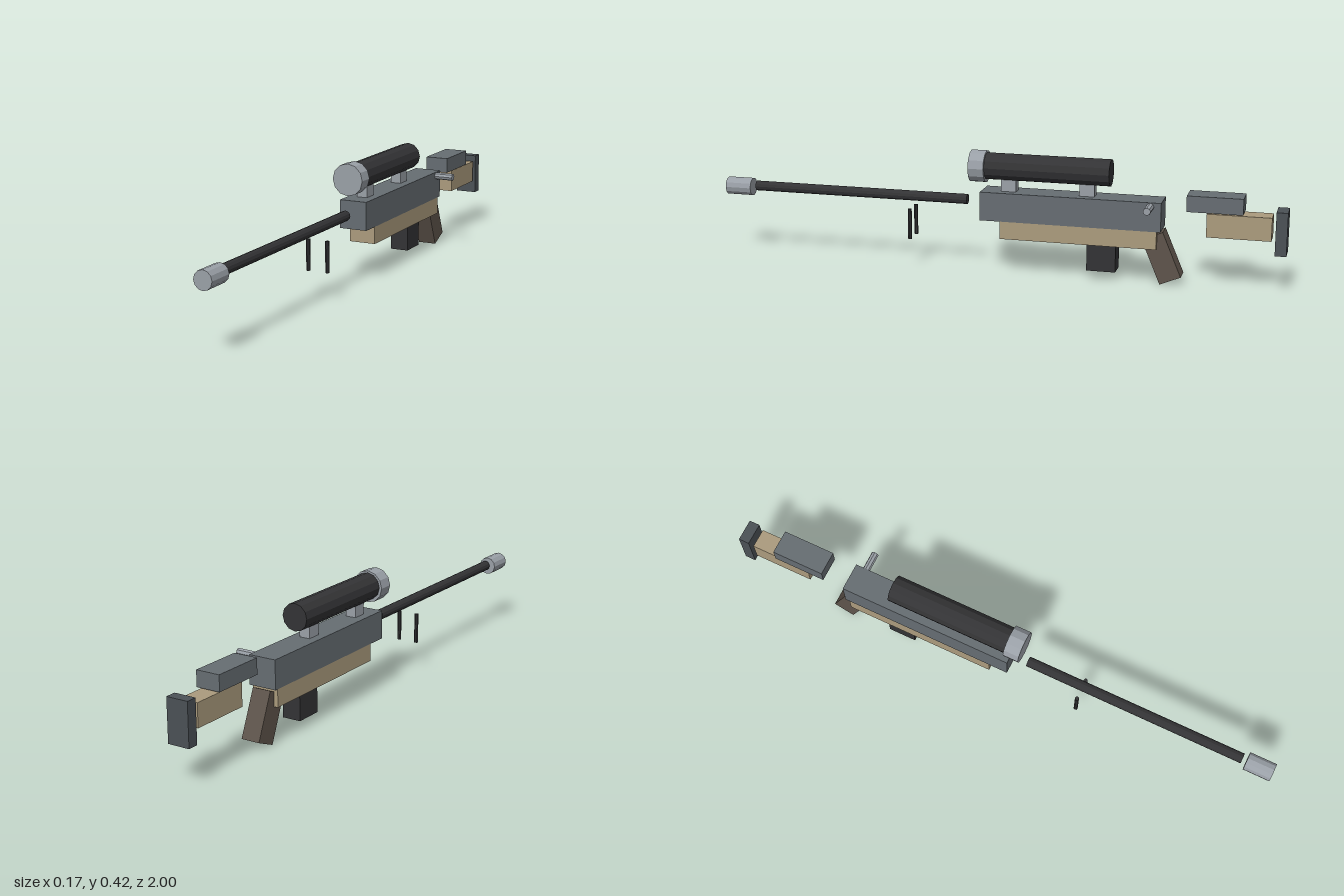
import * as THREE from 'three';

const CX = -0.032; // centre line of the rifle

const COLORS = {
  steel: 0x666d72, tan: 0xab9b7d, black: 0x333335,
  silver: 0x9aa0a7, grip: 0x5e544b, rubber: 0x4b5156,
};

export function createModel() {
  const model = new THREE.Group();

  const add = (name, geometry, color, x, y, z) => {
    const material = new THREE.MeshStandardMaterial({ color: COLORS[color], flatShading: true });
    const mesh = new THREE.Mesh(geometry, material);
    mesh.name = name;
    mesh.position.set(x, y, z);
    model.add(mesh);
    return mesh;
  };

  // Box on the centre line, given its width and its y and z ranges
  const block = (name, color, width, y0, y1, z0, z1) =>
    add(name, new THREE.BoxGeometry(width, y1 - y0, z1 - z0), color, CX, (y0 + y1) / 2, (z0 + z1) / 2);

  // Twelve-sided tube along z
  const tube = (name, color, radius, y, z0, z1) =>
    add(name, new THREE.CylinderGeometry(radius, radius, z1 - z0, 12).rotateX(Math.PI / 2),
      color, CX, y, (z0 + z1) / 2);

  // Barrel
  tube('muzzle', 'silver', 0.032, 0.245, 0.905, 1);
  tube('barrel', 'black', 0.018, 0.25, 0.1, 0.89);

  // Body
  block('receiver', 'steel', 0.1, 0.19, 0.29, -0.584, 0.043);
  block('handguard', 'tan', 0.096, 0.128, 0.192, -0.57, -0.027);
  block('magazine', 'black', 0.067, 0.034, 0.14, -0.43, -0.33);
  const grip = add('grip', new THREE.BoxGeometry(0.067, 0.166, 0.077), 'grip', CX, 0.095, -0.586);
  grip.rotation.x = 0.4;

  // Scope and its mounts
  tube('scope', 'black', 0.047, 0.373, -0.405, 0.035);
  tube('scopeObjective', 'silver', 0.056, 0.371, 0.03, 0.085);
  for (const z of [-0.051, -0.325]) {
    block('scopeMount', 'silver', 0.038, 0.285, 0.34, z - 0.026, z + 0.026);
  }

  // Bolt handle on the left side
  add('boltHandle', new THREE.CylinderGeometry(0.013, 0.013, 0.085, 8).rotateZ(Math.PI / 2),
    'silver', 0.0445, 0.276, -0.547);

  // Bipod legs
  for (const side of [-1, 1]) {
    add('bipodLeg', new THREE.CylinderGeometry(0.0073, 0.0073, 0.107, 8),
      'black', CX + side * 0.0355, 0.156, 0.301);
  }

  // Stock
  block('cheekRest', 'steel', 0.086, 0.265, 0.32, -0.855, -0.667);
  block('stock', 'tan', 0.068, 0.18, 0.26, -0.949, -0.734);
  block('buttPad', 'rubber', 0.078, 0.133, 0.281, -1, -0.962);

  return model;
}
